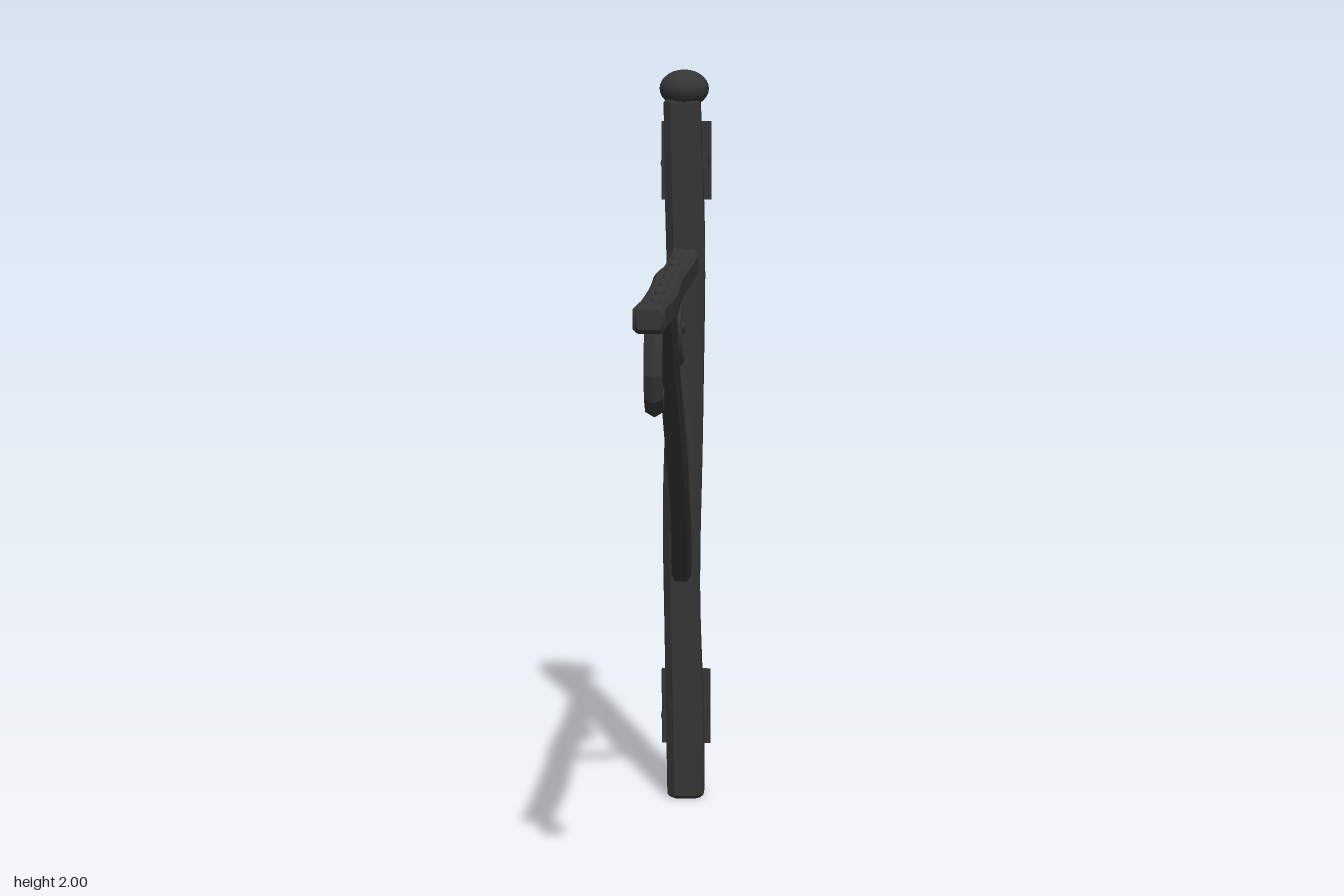
import * as THREE from 'three';
import { toCreasedNormals } from 'three/addons/utils/BufferGeometryUtils.js';

const iron = new THREE.MeshStandardMaterial({ color: 0x353535 });
iron.name = 'blackIron';

function add(parent, name, geometry, x = 0, y = 0, z = 0) {
  const mesh = new THREE.Mesh(geometry, iron);
  mesh.name = name;
  mesh.position.set(x, y, z);
  parent.add(mesh);
  return mesh;
}

// Rectangle with cut corners, centred on the origin
function chamferedRect(w, h, c) {
  const x = w / 2, y = h / 2;
  return new THREE.Shape([
    [-x + c, -y], [x - c, -y], [x, -y + c], [x, y - c],
    [x - c, y], [-x + c, y], [-x, y - c], [-x, -y + c],
  ].map(([a, b]) => new THREE.Vector2(a, b)));
}

// Hammered bar along +z from 0 to length; wobble(t) gives [dx, dy, scale]
function forgedBar(w, h, length, chamfer, wobble) {
  const b = 0.01;
  const geo = new THREE.ExtrudeGeometry(chamferedRect(w, h, chamfer), {
    depth: length - 2 * b, steps: 20, bevelEnabled: true,
    bevelThickness: b, bevelSize: b, bevelOffset: -b, bevelSegments: 1,
  });
  geo.translate(0, 0, b);
  const p = geo.attributes.position;
  for (let i = 0; i < p.count; i++) {
    const [dx, dy, s] = wobble(p.getZ(i) / length);
    p.setXY(i, p.getX(i) * s + dx, p.getY(i) * s + dy);
  }
  return geo;
}

// Closed rod following a list of [z, y] points in the x = 0 plane
function bentRod(points, radius, sides, steps) {
  const path = new THREE.CatmullRomCurve3(points.map(([z, y]) => new THREE.Vector3(0, y, z)));
  const ring = new THREE.Shape();
  for (let i = 0; i < sides; i++) {
    const a = (i + 0.5) * Math.PI * 2 / sides;
    const x = Math.cos(a) * radius, y = Math.sin(a) * radius;
    if (i) ring.lineTo(x, y); else ring.moveTo(x, y);
  }
  return new THREE.ExtrudeGeometry(ring, { extrudePath: path, steps, bevelEnabled: false });
}

export function createModel() {
  const model = new THREE.Group();
  model.name = 'hangingSignBracket';
  const postZ = -0.663;

  // Upright post, slightly wavy from side to side
  const post = forgedBar(0.1, 0.102, 1.92, 0.02, t => [
    0.006 * Math.sin(t * 9 - 4.8), 0, 1 + 0.03 * Math.sin(t * 17)]);
  post.rotateX(-Math.PI / 2);
  add(model, 'post', toCreasedNormals(post, 0.6), 0, 0.005, postZ);

  // Flattened ball finial
  const finial = new THREE.SphereGeometry(0.066, 24, 14);
  finial.scale(1, 0.76, 1);
  add(model, 'finial', finial, 0, 1.95, postZ);

  // Horizontal arm, bowed a little and ending in a square tip
  const arm = forgedBar(0.074, 0.064, 1.44, 0.01, t => [
    0.004 - 0.012 * t + 0.003 * Math.sin(t * 11), 0.003 * Math.sin(t * 13 + 1), 1 + 0.03 * Math.sin(t * 19)]);
  add(model, 'arm', toCreasedNormals(arm, 0.6), 0, 1.491, -0.62);

  // Rivets along the top of the arm
  const rivet = new THREE.SphereGeometry(0.014, 10, 8);
  for (let i = 0; i < 8; i++) {
    add(model, 'rivet', rivet, -0.003, 1.52, -0.537 + i * 0.174);
  }

  // Diagonal brace from post to arm
  const low = new THREE.Vector3(0, 0.625, -0.635), high = new THREE.Vector3(0, 1.455, 0.115);
  const brace = forgedBar(0.054, 0.046, low.distanceTo(high), 0.012, t => [
    -0.005 + 0.006 * Math.sin(t * 5), 0.002 * Math.sin(t * 12), 1 + 0.03 * Math.sin(t * 15)]);
  add(model, 'brace', toCreasedNormals(brace, 0.6)).position.copy(low);
  model.children.at(-1).lookAt(high);

  // Angular hook under the arm tip
  const hook = bentRod([[0.768, 1.465], [0.79, 1.39], [0.782, 1.325], [0.735, 1.288], [0.698, 1.318]], 0.024, 6, 5);
  add(model, 'hook', hook, -0.003);

  // Decorative scroll between brace and post
  const scroll = bentRod([[-0.325, 1.46], [-0.262, 1.435], [-0.218, 1.36], [-0.24, 1.295],
    [-0.298, 1.266], [-0.35, 1.294], [-0.361, 1.335], [-0.342, 1.351]], 0.017, 10, 36);
  add(model, 'scroll', toCreasedNormals(scroll, 0.9));

  // Two wall mounts: oval stub passing through a thin plate
  for (const [y, name] of [[1.75, 'upperMount'], [0.228, 'lowerMount']]) {
    const mount = new THREE.Group();
    mount.name = name;
    mount.position.set(0, y, 0);
    const stub = new THREE.CylinderGeometry(1, 1, 0.145, 24);
    stub.rotateX(Math.PI / 2);
    stub.scale(0.064, 0.041, 1);
    add(mount, 'stub', stub, 0, 0, -0.743);
    add(mount, 'plate', new THREE.BoxGeometry(0.136, 0.212, 0.014), 0.001, 0.002, -0.78);
    model.add(mount);
  }
  return model;
}
